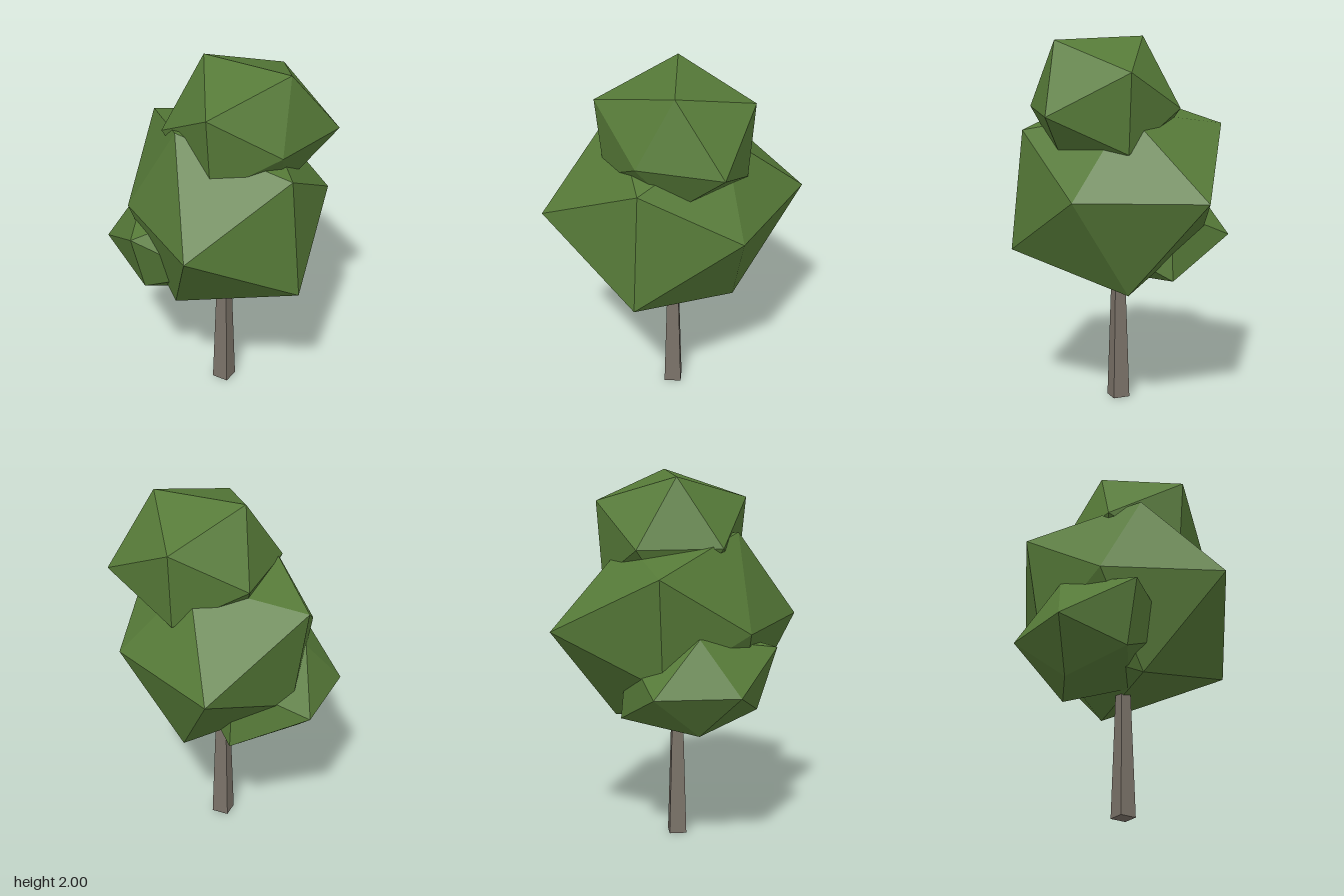
import * as THREE from 'three';

const T = (1 + Math.sqrt(5)) / 2;

// The twelve corner directions of an icosahedron
const CORNERS = [
  [-1, T, 0], [1, T, 0], [-1, -T, 0], [1, -T, 0],
  [0, -1, T], [0, 1, T], [0, -1, -T], [0, 1, -T],
  [T, 0, -1], [T, 0, 1], [-T, 0, -1], [-T, 0, 1],
].map((c) => new THREE.Vector3(...c).normalize());

// Uneven leaf clump: each icosahedron corner is pushed out to its own radius,
// then the clump is squashed in height and turned about y
function leafClump(name, material, { position, turn, squash, radii }) {
  const geometry = new THREE.IcosahedronGeometry(1, 0);
  const p = geometry.attributes.position;
  const v = new THREE.Vector3();
  for (let i = 0; i < p.count; i++) {
    v.fromBufferAttribute(p, i);
    const corner = CORNERS.findIndex((c) => c.dot(v) > 0.99);
    v.multiplyScalar(radii[corner]);
    p.setXYZ(i, v.x, v.y * squash, v.z);
  }
  geometry.computeVertexNormals();
  const mesh = new THREE.Mesh(geometry, material);
  mesh.name = name;
  mesh.position.set(...position);
  mesh.rotation.y = THREE.MathUtils.degToRad(turn);
  return mesh;
}

export function createModel() {
  const tree = new THREE.Group();
  tree.name = 'tree';

  const bark = new THREE.MeshStandardMaterial({ color: 0x7a7268, flatShading: true });
  bark.name = 'bark';
  const leaves = new THREE.MeshStandardMaterial({ color: 0x567a38, flatShading: true });
  leaves.name = 'leaves';

  // Four-sided tapering trunk, its top hidden in the crown
  const trunk = new THREE.Mesh(new THREE.CylinderGeometry(0.03, 0.066, 1, 4), bark);
  trunk.name = 'trunk';
  trunk.position.set(0.01, 0.5, 0.005);
  tree.add(trunk);

  // Large middle clump
  tree.add(leafClump('mainCrown', leaves, {
    position: [0, 1.2, 0], turn: 29, squash: 0.945,
    radii: [0.62, 0.54, 0.65, 0.665, 0.695, 0.616, 0.54, 0.652, 0.724, 0.586, 0.51, 0.705],
  }));

  // Upper clump
  tree.add(leafClump('topCrown', leaves, {
    position: [0.113, 1.63, 0.073], turn: -43.4, squash: 0.885,
    radii: [0.488, 0.482, 0.45, 0.39, 0.44, 0.491, 0.437, 0.474, 0.482, 0.37, 0.433, 0.442],
  }));

  // Low clump at the back
  tree.add(leafClump('lowerCrown', leaves, {
    position: [-0.213, 0.91, -0.087], turn: -231, squash: 0.76,
    radii: [0.42, 0.44, 0.36, 0.375, 0.49, 0.45, 0.366, 0.488, 0.405, 0.452, 0.4, 0.4],
  }));

  return tree;
}
